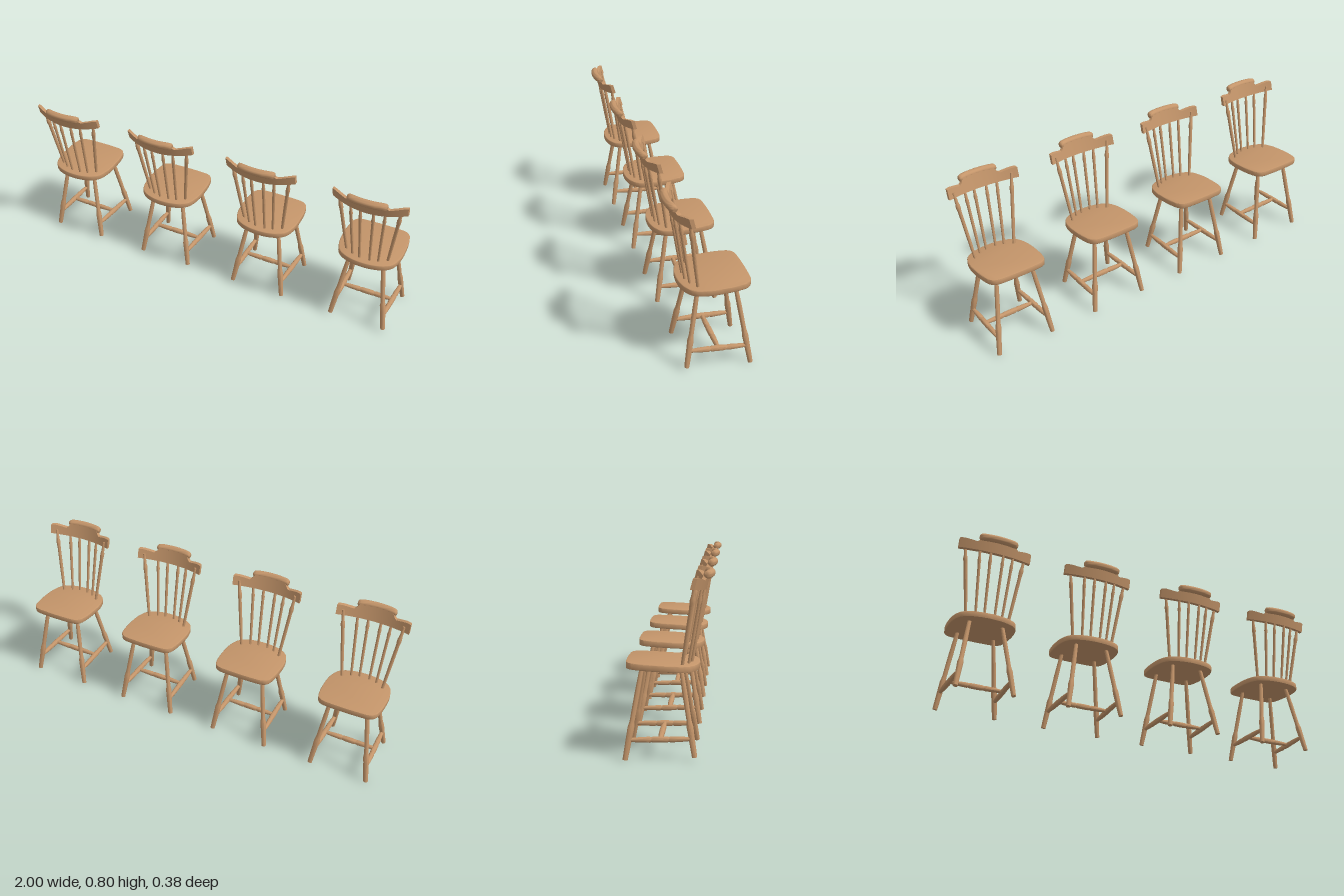
import * as THREE from 'three';
import { toCreasedNormals } from 'three/addons/utils/BufferGeometryUtils.js';

const wood = new THREE.MeshStandardMaterial({ color: 0xc4956a });
const V = (x, y, z) => new THREE.Vector3(x, y, z);

function add(group, name, geometry) {
  const mesh = new THREE.Mesh(geometry, wood);
  mesh.name = name;
  group.add(mesh);
  return mesh;
}

// Lathe-turned rod from a to b; profile holds [fraction along rod, radius]
function rod(group, name, a, b, profile, sides = 14) {
  const len = a.distanceTo(b);
  const pts = profile.map(([t, r]) => new THREE.Vector2(r, t * len));
  pts.unshift(new THREE.Vector2(0, 0));
  pts.push(new THREE.Vector2(0, len));
  const mesh = add(group, name, toCreasedNormals(new THREE.LatheGeometry(pts, sides), 0.7));
  mesh.position.copy(a);
  mesh.quaternion.setFromUnitVectors(V(0, 1, 0), b.clone().sub(a).normalize());
}

const LEG = [[0, 0.011], [0.08, 0.012], [0.27, 0.0135], [0.34, 0.0145], [0.38, 0.012], [0.42, 0.0105], [0.7, 0.011], [1, 0.009]];
const STRETCHER = [[0, 0.008], [0.15, 0.011], [0.33, 0.013], [0.36, 0.0105], [0.39, 0.013], [0.5, 0.0135],
  [0.61, 0.013], [0.64, 0.0105], [0.67, 0.013], [0.85, 0.011], [1, 0.008]];
const POST = [[0, 0.007], [0.4, 0.0085], [0.72, 0.0085], [0.77, 0.0105], [0.81, 0.0105], [0.84, 0.008], [1, 0.006]];
const SPINDLE = [[0, 0.006], [0.4, 0.0072], [0.75, 0.0072], [0.8, 0.009], [0.84, 0.007], [1, 0.0055]];

// Shield-shaped seat, rising slightly toward the sitter's knees (-z)
function buildSeat(group) {
  const s = new THREE.Shape();
  s.moveTo(0, -0.127);
  s.bezierCurveTo(0.06, -0.127, 0.115, -0.11, 0.135, -0.075);
  s.bezierCurveTo(0.15, -0.045, 0.155, -0.01, 0.155, 0.03);
  s.bezierCurveTo(0.155, 0.07, 0.153, 0.11, 0.145, 0.14);
  s.bezierCurveTo(0.138, 0.165, 0.12, 0.174, 0.09, 0.175);
  s.quadraticCurveTo(0, 0.18, -0.09, 0.175);
  s.bezierCurveTo(-0.12, 0.174, -0.138, 0.165, -0.145, 0.14);
  s.bezierCurveTo(-0.153, 0.11, -0.155, 0.07, -0.155, 0.03);
  s.bezierCurveTo(-0.155, -0.01, -0.15, -0.045, -0.135, -0.075);
  s.bezierCurveTo(-0.115, -0.11, -0.06, -0.127, 0, -0.127);
  const g = new THREE.ExtrudeGeometry(s, {
    depth: 0.022, bevelSize: 0.003, bevelThickness: 0.003, bevelSegments: 2, curveSegments: 8,
  });
  g.rotateX(-Math.PI / 2);
  const p = g.attributes.position;
  for (let i = 0; i < p.count; i++) p.setY(i, p.getY(i) + 0.384 - p.getZ(i) * 0.054);
  add(group, 'seat', toCreasedNormals(g, 0.8));
}

// Bow of the crest rail in plan
const bow = (x) => -1.5 * x * x;

// Crest rail: a bowed, backward-leaning board with a raised middle
function buildCrest(group) {
  const xs = [0, 0.03, 0.06, 0.08, 0.085, 0.09, 0.096, 0.103, 0.115, 0.135, 0.155, 0.17, 0.18];
  const all = [...xs.slice(1).reverse().map((x) => -x), ...xs];
  const top = (x) => {
    if (x < 0.081) return 0.785;
    if (x < 0.104) return 0.758 + 0.027 * ((0.104 - x) / 0.023) ** 1.8;
    return 0.758 + 0.016 * Math.min(1, (x - 0.104) / 0.06);
  };
  const pos = [], idx = [];
  for (const x of all) {
    const a = Math.abs(x);
    const yb = 0.713 + 0.45 * x * x, yt = top(a);
    const lean = (y) => 0.155 + (y - 0.74) * 0.27 + bow(x);
    for (const [y, dz] of [[yb, -0.009], [yb, 0.009], [yt, 0.009], [yt, -0.009]]) pos.push(x, y, lean(y) + dz);
  }
  for (let i = 0; i < all.length - 1; i++) {
    for (let j = 0; j < 4; j++) {
      const a = i * 4 + j, b = i * 4 + (j + 1) % 4;
      idx.push(a, a + 4, b, b, a + 4, b + 4);
    }
  }
  const e = (all.length - 1) * 4;
  idx.push(0, 1, 2, 0, 2, 3, e, e + 2, e + 1, e, e + 3, e + 2);
  // Loops run from -z to +z along the bottom, so flip to face outward
  for (let i = 0; i < idx.length; i += 3) [idx[i + 1], idx[i + 2]] = [idx[i + 2], idx[i + 1]];
  const g = new THREE.BufferGeometry();
  g.setAttribute('position', new THREE.Float32BufferAttribute(pos, 3));
  g.setIndex(idx);
  fixWinding(g);
  add(group, 'crestRail', toCreasedNormals(g, 0.6));

  // Rolled scroll along the raised middle
  const prof = [[0, -0.095], [0.01, -0.095], [0.015, -0.091], [0.0175, -0.08]];
  for (let i = -3; i <= 3; i++) prof.push([0.018, i * 0.022]);
  prof.push([0.0175, 0.08], [0.015, 0.091], [0.01, 0.095], [0, 0.095]);
  const r = new THREE.LatheGeometry(prof.map(([a, b]) => new THREE.Vector2(a, b)), 18);
  r.rotateZ(-Math.PI / 2);
  const p = r.attributes.position;
  for (let i = 0; i < p.count; i++) {
    p.setXYZ(i, p.getX(i), p.getY(i) + 0.78, p.getZ(i) + 0.175 + bow(p.getX(i)));
  }
  add(group, 'crestScroll', toCreasedNormals(r, 0.8));
}

// Turn a closed mesh right side out if its signed volume is negative
function fixWinding(g) {
  const p = g.attributes.position, ix = g.index;
  const [a, b, c] = [V(0, 0, 0), V(0, 0, 0), V(0, 0, 0)];
  let vol = 0;
  for (let i = 0; i < ix.count; i += 3) {
    a.fromBufferAttribute(p, ix.getX(i));
    b.fromBufferAttribute(p, ix.getX(i + 1));
    c.fromBufferAttribute(p, ix.getX(i + 2));
    vol += a.dot(b.cross(c));
  }
  if (vol >= 0) return;
  for (let i = 0; i < ix.count; i += 3) {
    const t = ix.getX(i + 1);
    ix.setX(i + 1, ix.getX(i + 2));
    ix.setX(i + 2, t);
  }
}

function buildChair() {
  const chair = new THREE.Group();
  buildSeat(chair);
  buildCrest(chair);
  for (const s of [-1, 1]) {
    const side = s > 0 ? 'left' : 'right';
    // Splayed legs and side stretcher
    rod(chair, side + 'FrontLeg', V(s * 0.147, 0.003, -0.179), V(s * 0.09, 0.395, -0.11), LEG);
    rod(chair, side + 'BackLeg', V(s * 0.138, 0.016, 0.113), V(s * 0.08, 0.39, 0.052), LEG);
    rod(chair, side + 'Stretcher', V(s * 0.127, 0.093, 0.1), V(s * 0.135, 0.087, -0.164), STRETCHER);
    // Outer post and two spindles each side, fanning outward
    rod(chair, side + 'Post', V(s * 0.103, 0.395, 0.058), V(s * 0.15, 0.75, 0.113), POST);
    rod(chair, side + 'OuterSpindle', V(s * 0.064, 0.395, 0.083), V(s * 0.084, 0.74, 0.141), SPINDLE, 12);
    rod(chair, side + 'InnerSpindle', V(s * 0.025, 0.395, 0.095), V(s * 0.032, 0.74, 0.152), SPINDLE, 12);
  }
  rod(chair, 'crossStretcher', V(-0.131, 0.092, -0.032), V(0.131, 0.092, -0.032), STRETCHER);
  return chair;
}

export function createModel() {
  const model = new THREE.Group();
  model.name = 'chairRow';
  const chair = buildChair();
  for (let i = 0; i < 4; i++) {
    const c = chair.clone();
    c.name = 'chair' + (i + 1);
    c.position.x = (i - 1.5) * 0.5467;
    model.add(c);
  }
  return model;
}
